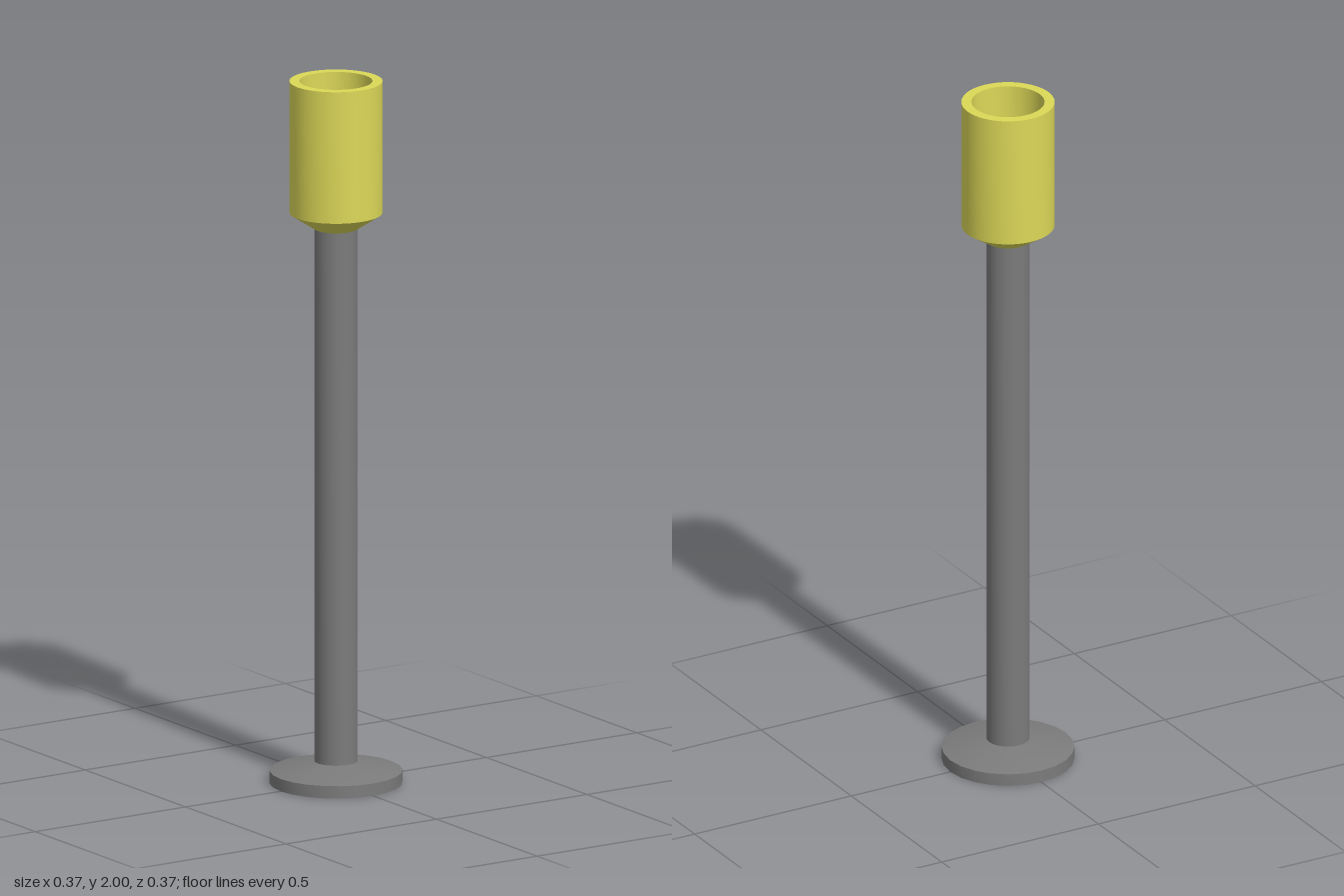
import * as THREE from 'three';
import { toCreasedNormals } from 'three/addons/utils/BufferGeometryUtils.js';

// Turned part from [radius, height] pairs, listed from bottom centre outward and up
function turned(name, profile, sides, color) {
  const points = profile.map(([r, y]) => new THREE.Vector2(r, y));
  const geometry = toCreasedNormals(new THREE.LatheGeometry(points, sides), 0.5);
  const mesh = new THREE.Mesh(geometry, new THREE.MeshStandardMaterial({ color }));
  mesh.name = name;
  return mesh;
}

export function createModel() {
  const group = new THREE.Group();
  group.name = 'postWithCup';
  const grey = 0x7b7b7b;
  const yellow = 0xdcd858;

  // Foot plate with a shallow conical top
  group.add(turned('base', [[0, 0], [0.184, 0], [0.184, 0.035], [0.06, 0.062], [0, 0.062]], 24, grey));

  // Slim post
  group.add(turned('post', [[0, 0.05], [0.06, 0.05], [0.06, 1.59], [0, 1.59]], 24, grey));

  // Hollow cup: tapered underside, outer wall, flat rim, inner wall and floor
  group.add(turned('cup', [
    [0, 1.58], [0.06, 1.58], [0.129, 1.625], [0.129, 2],
    [0.101, 2], [0.101, 1.63], [0, 1.63],
  ], 48, yellow));

  return group;
}
